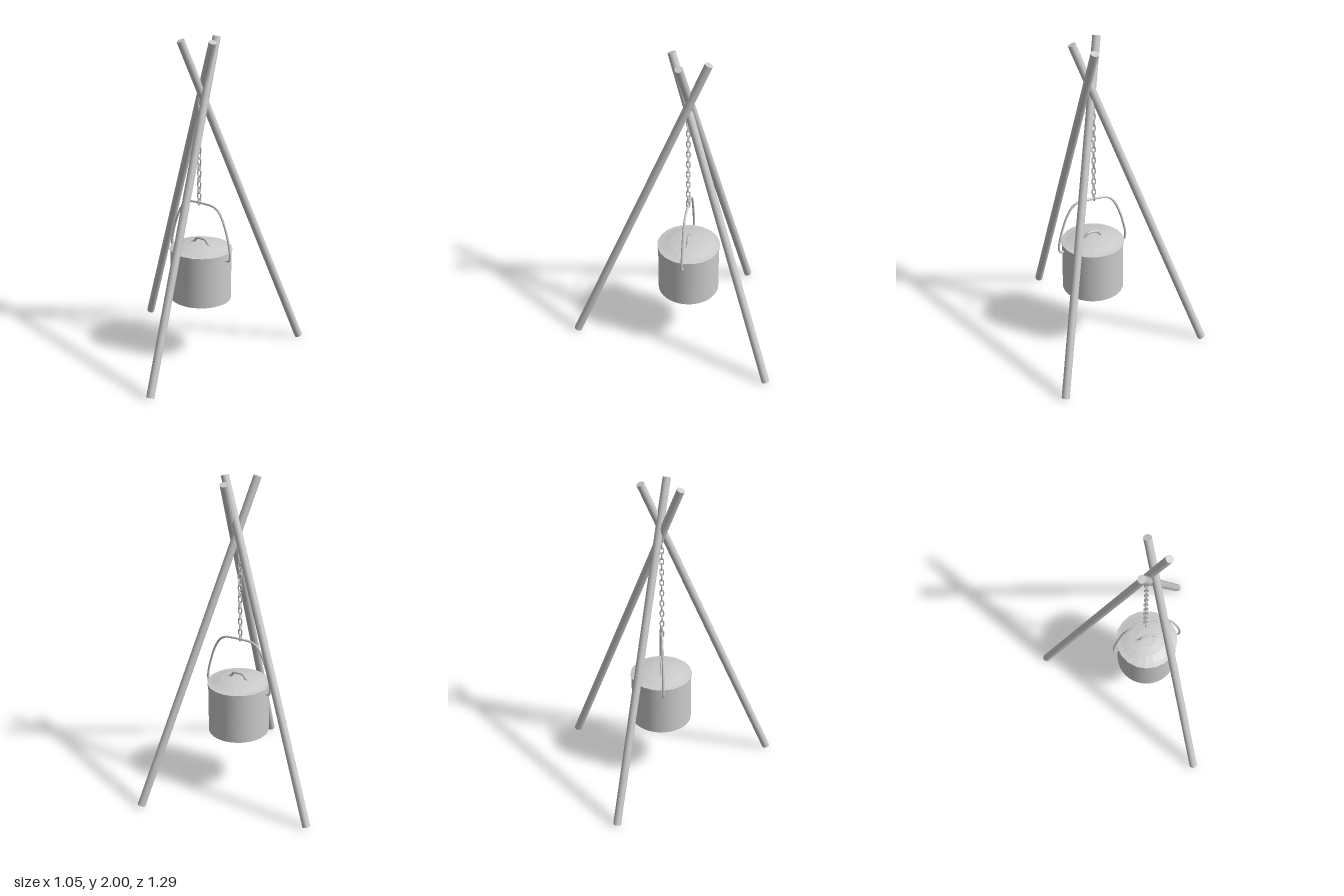
import * as THREE from 'three';

const mat = new THREE.MeshStandardMaterial({ color: 0xcccccc, side: THREE.DoubleSide });
const flat = new THREE.MeshStandardMaterial({ color: 0xcccccc, flatShading: true, side: THREE.DoubleSide });
const V = (x, y, z = 0) => new THREE.Vector3(x, y, z);

function add(parent, name, geometry, material = mat) {
  const mesh = new THREE.Mesh(geometry, material);
  mesh.name = name;
  parent.add(mesh);
  return mesh;
}

// Straight round pole between two points
function pole(parent, name, a, b) {
  const dir = b.clone().sub(a);
  const mesh = add(parent, name, new THREE.CylinderGeometry(0.024, 0.024, dir.length(), 20));
  mesh.position.copy(a).add(b).multiplyScalar(0.5);
  mesh.quaternion.setFromUnitVectors(V(0, 1), dir.normalize());
}

// Round wire through points mirrored about x = 0 (right half given, bottom to top)
function wire(parent, name, half, radius, segments) {
  const pts = half.map(([x, y]) => V(-x, y)).concat(half.slice().reverse().map(([x, y]) => V(x, y)));
  const curve = new THREE.CatmullRomCurve3(pts, false, 'centripetal');
  return add(parent, name, new THREE.TubeGeometry(curve, segments, radius, 8));
}

// Closed oval link standing upright
function linkGeometry() {
  const r = 0.0095, s = 0.012, pts = [];
  for (let i = 0; i < 8; i++) {
    const a = (i + 0.5) / 8 * Math.PI * 2;
    pts.push(V(Math.cos(a) * r, Math.sin(a) * r + Math.sign(Math.sin(a)) * s));
  }
  return new THREE.TubeGeometry(new THREE.CatmullRomCurve3(pts, true), 20, 0.0042, 6, true);
}

export function createModel() {
  const model = new THREE.Group();
  model.name = 'campfireTripod';

  // Three crossing poles
  pole(model, 'rightPole', V(-0.5, 0.008, -0.37), V(0.217, 1.992, -0.03));
  pole(model, 'leftPole', V(0.5, 0.008, -0.62), V(0.041, 1.992, 0.042));
  pole(model, 'frontPole', V(0.242, 0.01, 0.62), V(0.138, 1.99, -0.185));

  // Chain of alternating links
  const chain = new THREE.Group();
  chain.name = 'chain';
  chain.position.set(0.103, 0, -0.066);
  model.add(chain);
  const link = linkGeometry();
  for (let i = 0; i < 19; i++) {
    const m = add(chain, 'chainLink', link);
    m.position.y = 0.996 + i * 0.036;
    m.rotation.y = i % 2 ? 0 : Math.PI / 2;
  }

  const pot = new THREE.Group();
  pot.name = 'pot';
  pot.position.set(0.115, 0, -0.072);
  model.add(pot);

  // Vessel wall with closed base
  const wall = add(pot, 'potWall', new THREE.CylinderGeometry(0.186, 0.186, 0.315, 40, 1, true));
  wall.position.y = 0.5325;
  const base = add(pot, 'potBase', new THREE.CircleGeometry(0.186, 40));
  base.rotation.x = Math.PI / 2;
  base.position.y = 0.375;

  // Shallow faceted lid
  const profile = [[0.182, 0.687], [0.192, 0.69], [0.192, 0.698], [0.165, 0.703], [0.115, 0.717], [0.06, 0.726], [0, 0.729]];
  add(pot, 'lid', new THREE.LatheGeometry(profile.map(([x, y]) => new THREE.Vector2(x, y)), 20), flat);

  // Lid grip
  wire(pot, 'lidGrip', [[0.07, 0.722], [0.052, 0.729], [0.042, 0.742], [0.033, 0.754], [0.02, 0.757]], 0.0075, 32);

  // Bail handle hooked into the sides
  const bail = wire(pot, 'bailHandle', [
    [0.18, 0.658], [0.2, 0.655], [0.212, 0.665], [0.215, 0.7], [0.205, 0.76],
    [0.18, 0.85], [0.152, 0.92], [0.12, 0.965], [0.085, 0.983], [0.04, 0.987],
  ], 0.0068, 90);
  bail.position.z = 0.004;

  return model;
}
